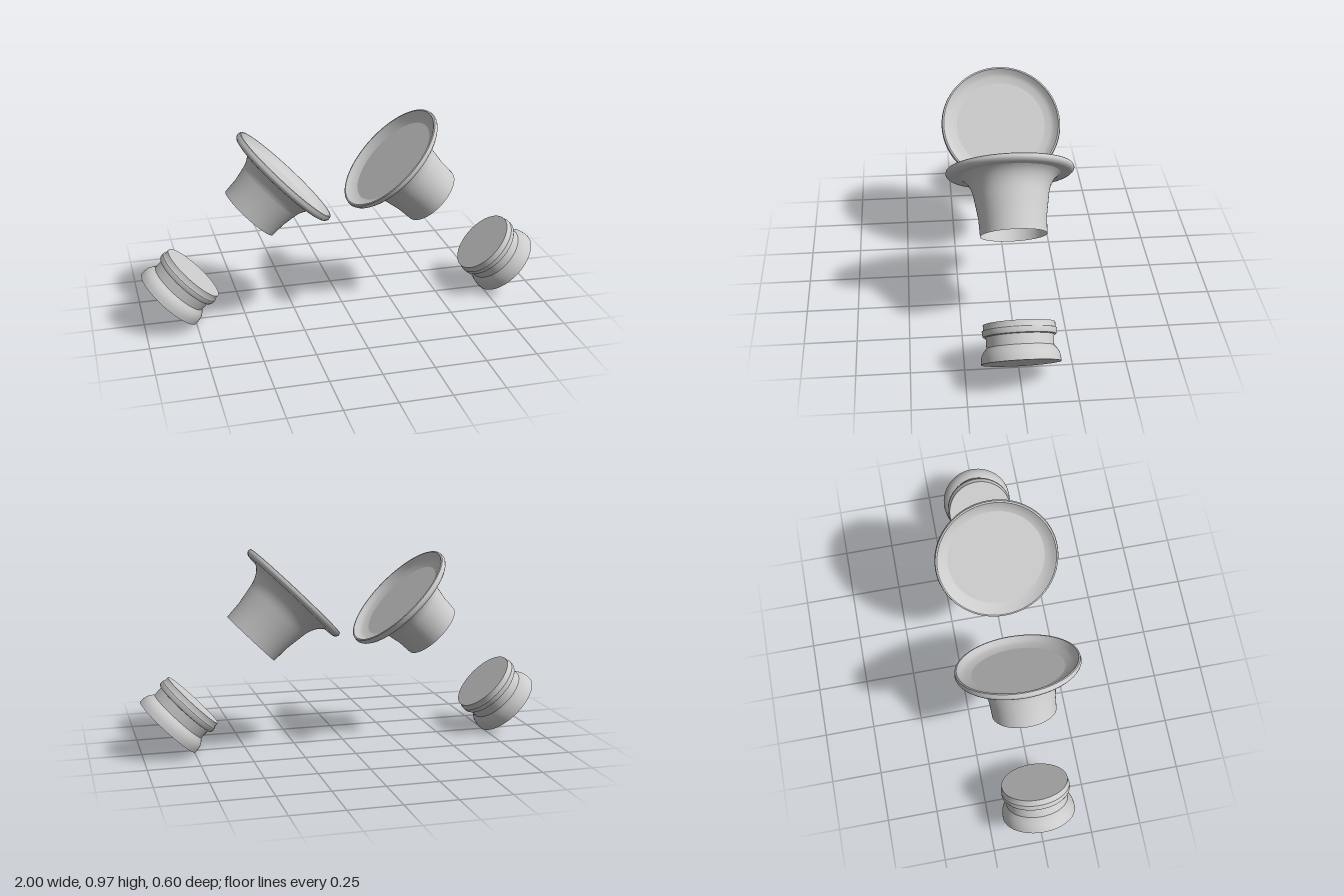
import * as THREE from 'three';

const grey = new THREE.MeshStandardMaterial({ color: 0xcccccc, side: THREE.DoubleSide });
grey.name = 'light grey';

// Each profile strip is [radius, height] pairs; strips meet in sharp edges.
function turned(name, strips) {
  const group = new THREE.Group();
  group.name = name;
  for (const [part, points] of Object.entries(strips)) {
    const geometry = new THREE.LatheGeometry(points.map(([r, y]) => new THREE.Vector2(r, y)), 64);
    const mesh = new THREE.Mesh(geometry, grey);
    mesh.name = part;
    group.add(mesh);
  }
  return group;
}

// Open tube flaring into a dished flange that is closed by a flat disc.
// base: tube mouth, floor: disc height, top: rim height, r: disc radius.
function funnel(name, base, floor, top, r, flareStart) {
  const flare = new THREE.QuadraticBezierCurve(
    new THREE.Vector2(0.173, flareStart),
    new THREE.Vector2(0.183, floor - 0.03),
    new THREE.Vector2(r, floor - 0.002)
  ).getPoints(10).map((p) => [p.x, p.y]);
  return turned(name, {
    tube: [[0.155, base], [0.159, base + (flareStart - base) * 0.5], [0.173, flareStart]],
    flare,
    flangeUnderside: [[r, floor - 0.002], [0.277, floor - 0.002]],
    flangeEdge: [[0.277, floor - 0.002], [0.287, floor + 0.001], [0.296, floor + 0.009],
      [0.3, floor + 0.018], [0.297, top - 0.003]],
    rim: [[0.297, top - 0.003], [0.293, top], [0.289, top - 0.001]],
    dish: [[0.289, top - 0.001], [0.272, floor + 0.017], [0.253, floor + 0.006], [r, floor]],
    disc: [[r, floor], [0, floor]],
  });
}

// Solid plug with a flared foot, a neck groove and a bevelled collar.
function plug(name) {
  return turned(name, {
    bottomFace: [[0, -0.525], [0.181, -0.525]],
    foot: [[0.181, -0.525], [0.18, -0.505], [0.176, -0.485], [0.166, -0.468], [0.153, -0.453]],
    neck: [[0.153, -0.453], [0.154, -0.405]],
    collarUnderside: [[0.154, -0.405], [0.165, -0.403]],
    collarLower: [[0.165, -0.403], [0.17, -0.395], [0.17, -0.376]],
    collarUpper: [[0.17, -0.376], [0.164, -0.372], [0.164, -0.348]],
    topFace: [[0.164, -0.348], [0, -0.348]],
  });
}

export function createModel() {
  const model = new THREE.Group();
  model.name = 'funnelsAndPlugs';
  // Each pair shares an axis tilted 45 degrees, one pair per side.
  const pairs = [
    { side: -1, name: 'right', funnel: [0.053, 0.278, 0.315, 0.222, 0.205] },
    { side: 1, name: 'left', funnel: [0.058, 0.342, 0.374, 0.236, 0.23] },
  ];
  for (const pair of pairs) {
    const axis = new THREE.Group();
    axis.name = pair.name + 'Pair';
    axis.add(funnel(pair.name + 'Funnel', ...pair.funnel), plug(pair.name + 'Plug'));
    axis.position.set(0.5 * pair.side, 0.5, 0);
    axis.rotation.z = (Math.PI / 4) * pair.side;
    model.add(axis);
  }
  return model;
}
